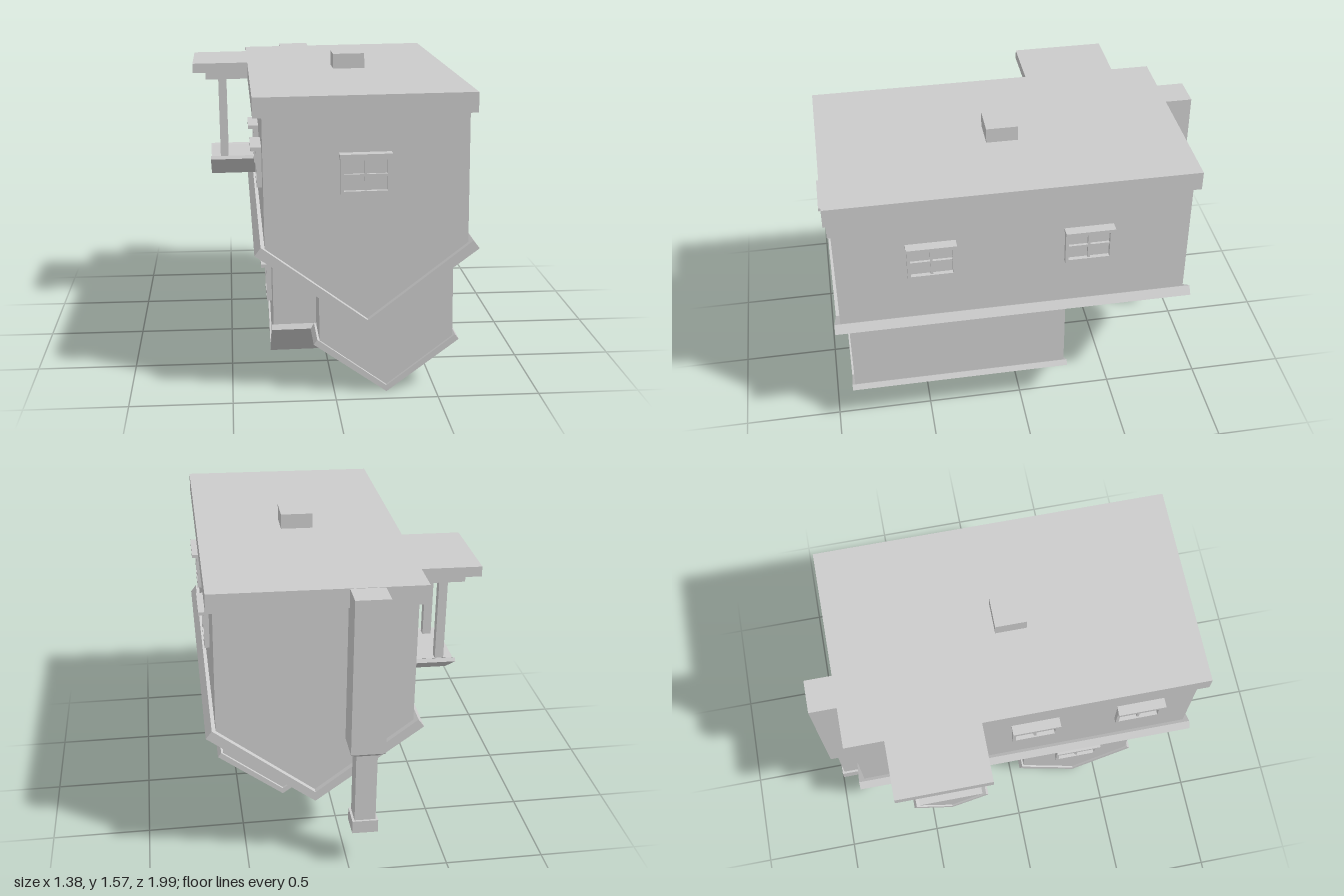
import * as THREE from 'three';

const mat = new THREE.MeshStandardMaterial({ color: 0xcccccc });
const TILT = 0.013, PIVOT = [0.15, 0.75];

function add(parent, name, geo) {
  const m = new THREE.Mesh(geo, mat);
  m.name = name;
  parent.add(m);
  return m;
}

// box from its min and max corners
function box(parent, name, [x0, x1], [y0, y1], [z0, z1]) {
  const g = new THREE.BoxGeometry(x1 - x0, y1 - y0, z1 - z0);
  g.translate((x0 + x1) / 2, (y0 + y1) / 2, (z0 + z1) / 2);
  return add(parent, name, g);
}

// section (centred on 0) extruded along z, or along x
function prism(parent, name, pts, centre, from, to, axis = 'z') {
  const shape = new THREE.Shape(pts.map(p => new THREE.Vector2(p[0], p[1])));
  const g = new THREE.ExtrudeGeometry(shape, { depth: to - from, bevelEnabled: false });
  if (axis === 'x') g.rotateY(Math.PI / 2).translate(from, 0, centre);
  else g.translate(centre, 0, from);
  return add(parent, name, g);
}

// wall block ending in a downward gable
const gable = (half, apex, eave, top) =>
  [[0, apex], [half, eave], [half, top], [-half, top], [-half, eave]];

// downward V of two roof slabs: outer and inner [half width, eave height, apex height]
const vee = ([oh, oe, oa], [ih, ie, ia]) =>
  [[0, oa], [oh, oe], [ih, ie], [0, ia], [-ih, ie], [-oh, oe]];

// four-paned window facing +z, origin at the centre of its frame
function windowUnit(name) {
  const w = new THREE.Group();
  w.name = name;
  const W = 0.12, H = 0.09, B = 0.016;
  box(w, 'windowPane', [-W, W], [-H, H], [-0.01, 0.004]);
  for (const s of [-1, 1]) {
    box(w, 'windowSideFrame', [s * (W - B / 2) - B / 2, s * (W - B / 2) + B / 2], [-H, H], [0, 0.026]);
    box(w, 'windowEndFrame', [-W, W], [s * (H - B / 2) - B / 2, s * (H - B / 2) + B / 2], [0, 0.026]);
  }
  box(w, 'windowMullion', [-0.006, 0.006], [-H, H], [0, 0.018]);
  box(w, 'windowCrossbar', [-W, W], [-0.006, 0.006], [0, 0.018]);
  box(w, 'windowSill', [-W - 0.004, W + 0.004], [H, H + 0.018], [0, 0.052]);
  return w;
}

export function createModel() {
  const root = new THREE.Group();
  root.name = 'upsideDownHouse';
  const house = new THREE.Group();
  house.name = 'house';
  root.add(house);

  // main storey with its downward gable roof
  prism(house, 'mainWalls', gable(0.4875, 0.39, 0.755, 1.41), 0.15, -0.83, 0.94);
  prism(house, 'mainRoof', vee([0.537, 0.7425, 0.35], [0.507, 0.7825, 0.4]), 0.15, -0.86, 0.97);

  // lower block and its roof
  prism(house, 'lowerWalls', gable(0.327, 0.03, 0.28, 0.69), 0.247, -0.225, 0.9);
  prism(house, 'lowerRoof', vee([0.357, 0.264, 0.004], [0.339, 0.289, 0.036]), 0.247, -0.24, 0.915);

  // side wing with a cross gable
  prism(house, 'wingWalls', gable(0.305, 0.05, 0.28, 0.7), 0.37, -0.295, 0.2, 'x');
  prism(house, 'wingRoof', vee([0.33, 0.266, 0.026], [0.314, 0.29, 0.056]), 0.37, -0.305, 0.215, 'x');

  // ground slab on top, with a small block on it
  box(house, 'groundSlab', [-0.38, 0.67], [1.4, 1.497], [-0.86, 0.97]);
  box(house, 'slabBlock', [0.067, 0.232], [1.49, 1.575], [-0.03, 0.13]);

  // porch: steps, posts and little gable roof
  box(house, 'porchUpperStep', [-0.68, -0.37], [1.446, 1.497], [-0.66, -0.18]);
  box(house, 'porchLowerStep', [-0.61, -0.33], [1.405, 1.447], [-0.62, -0.2]);
  for (const s of [-1, 1]) {
    const z = -0.385 + s * 0.145;
    box(house, 'porchPost', [-0.542, -0.498], [0.955, 1.41], [z - 0.022, z + 0.022]);
  }
  prism(house, 'porchCeiling', [[0, 0.845], [0.165, 0.962], [-0.165, 0.962]], -0.39, -0.59, -0.33, 'x');
  prism(house, 'porchRoof', vee([0.195, 0.953, 0.829], [0.183, 0.97, 0.85]), -0.39, -0.598, -0.33, 'x');

  // chimney: broad breast, taper, narrow stack and hollow cap
  const cx = -0.085, cz = -0.915;
  box(house, 'chimneyBreast', [-0.17, 0], [0.685, 1.495], [-1, -0.82]);
  const taper = new THREE.CylinderGeometry(0.085 * Math.SQRT2, 0.055 * Math.SQRT2, 0.025, 4, 1);
  taper.rotateY(Math.PI / 4).translate(cx, 0.6725, cz);
  add(house, 'chimneyTaper', taper);
  box(house, 'chimneyStack', [cx - 0.053, cx + 0.053], [0.25, 0.67], [cz - 0.053, cz + 0.053]);
  const square = (C, r) => new C([[-r, -r], [r, -r], [r, r], [-r, r]].map(p => new THREE.Vector2(...p)));
  const cap = square(THREE.Shape, 0.065);
  cap.holes.push(square(THREE.Path, 0.045));
  const capGeo = new THREE.ExtrudeGeometry(cap, { depth: 0.068, bevelEnabled: false });
  capGeo.rotateX(-Math.PI / 2).translate(cx, 0.222, cz);
  add(house, 'chimneyCap', capGeo);

  // windows: x, y, z, facing angle
  const q = Math.PI / 2;
  const windows = [
    ['frontWindow', 0.143, 1.115, 0.94, 0],
    ['leftSideWindow', 0.6375, 1.115, 0.47, q],
    ['leftSideWindow', 0.6375, 1.115, -0.315, q],
    ['rightSideWindow', -0.3375, 1.115, 0.65, -q],
    ['rightSideWindow', -0.3375, 1.115, 0.1, -q],
    ['wingWindow', -0.295, 0.44, 0.37, -q],
  ];
  for (const [name, x, y, z, a] of windows) {
    const w = windowUnit(name);
    w.position.set(x, y, z);
    w.rotation.y = a;
    house.add(w);
  }

  // slight lean of the whole house
  house.children.forEach(c => { c.position.x -= PIVOT[0]; c.position.y -= PIVOT[1]; });
  house.position.set(PIVOT[0], PIVOT[1], 0);
  house.rotation.z = TILT;
  return root;
}
